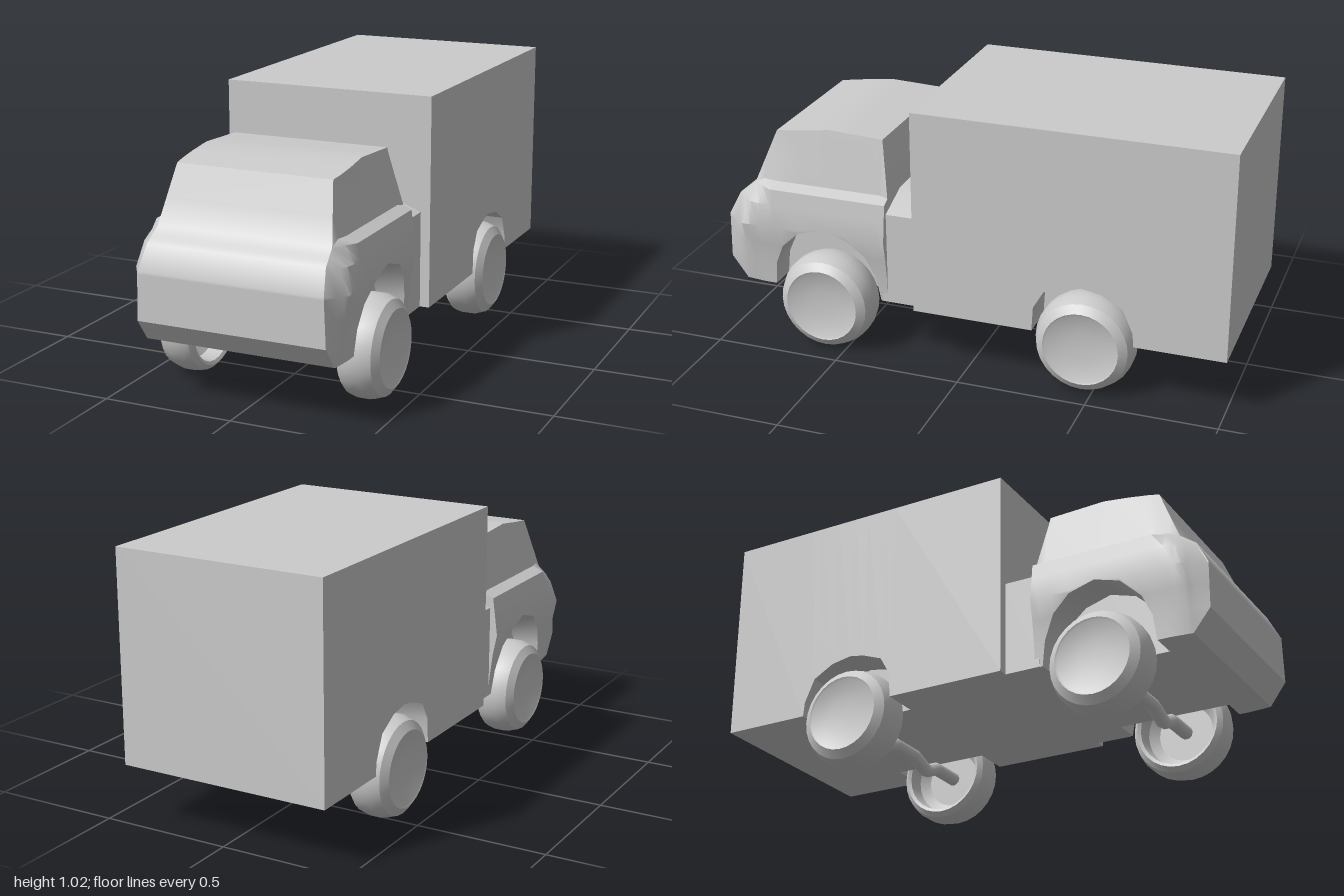
import * as THREE from 'three';
import { toCreasedNormals } from 'three/addons/utils/BufferGeometryUtils.js';

const FLOOR = 0.225, WELL = 0.27;
const material = new THREE.MeshStandardMaterial({ color: 0xcccccc });
const clamp = THREE.MathUtils.clamp;

// Linear lookup in a sorted list of [input, output] pairs
function lookup(table, v) {
  if (v <= table[0][0]) return table[0][1];
  for (let i = 1; i < table.length; i++) {
    const [a, fa] = table[i - 1], [b, fb] = table[i];
    if (v <= b) return fa + (fb - fa) * (v - a) / (b - a);
  }
  return table[table.length - 1][1];
}

// Skin a row of mirrored cross-sections; each section lists its +x half from bottom to top
function loft(sections, crease) {
  const rings = sections.map(({ z, half }) => [
    ...half.map(([x, y]) => new THREE.Vector3(x, y, z)),
    ...half.slice().reverse().map(([x, y]) => new THREE.Vector3(-x, y, z)),
  ]);
  const pos = [], n = rings[0].length;
  const tri = (a, b, c) => {
    const area = b.clone().sub(a).cross(c.clone().sub(a)).length();
    if (area > 1e-7) for (const p of [a, b, c]) pos.push(p.x, p.y, p.z);
  };
  const quad = (a, b, c, d) => { tri(a, b, c); tri(a, c, d); };
  for (let k = 0; k + 1 < rings.length; k++) {
    for (let i = 0; i < n; i++) {
      const j = (i + 1) % n;
      quad(rings[k][i], rings[k][j], rings[k + 1][j], rings[k + 1][i]);
    }
  }
  const first = rings[0], last = rings[rings.length - 1];
  for (let i = 0; i < n / 2 - 1; i++) {
    quad(last[i], last[i + 1], last[n - 2 - i], last[n - 1 - i]);
    quad(first[n - 1 - i], first[n - 2 - i], first[i + 1], first[i]);
  }
  const geo = new THREE.BufferGeometry();
  geo.setAttribute('position', new THREE.Float32BufferAttribute(pos, 3));
  return toCreasedNormals(geo, crease);
}

// Wheel arch outlines as [z, y]
const frontArch = [[0.355, FLOOR], [0.37, 0.32], [0.41, 0.41], [0.48, 0.47], [0.58, 0.5],
  [0.68, 0.47], [0.755, 0.4], [0.79, 0.32], [0.8, FLOOR]];
const rearArch = [[-0.655, FLOOR], [-0.65, 0.28], [-0.61, 0.37], [-0.53, 0.415], [-0.45, 0.43],
  [-0.39, 0.42], [-0.31, 0.39], [-0.27, 0.32], [-0.265, FLOOR]];

// Cab: roof line over z, nose line over y, and half widths over y
const roofLine = [[0.325, 0.645], [0.36, 0.86], [0.58, 0.87], [0.8, 0.84], [0.885, 0.63],
  [0.95, 0.58], [0.995, 0.49]];
const noseLine = [[FLOOR, 0.93], [0.31, 0.995], [0.49, 0.995], [0.58, 0.95], [0.63, 0.885], [0.84, 0.8]];
const sideWidth = [[FLOOR, 0.375], [0.37, 0.388], [0.48, 0.41], [0.63, 0.39], [0.65, 0.347], [0.87, 0.306]];
const frontWidth = [[FLOOR, 0.365], [0.49, 0.355], [0.63, 0.335], [0.84, 0.3], [0.87, 0.298]];

function cabWidth(y, z) {
  const nearNose = clamp(1 - (lookup(noseLine, y) - z) / 0.08, 0, 1);
  return THREE.MathUtils.lerp(lookup(sideWidth, y), lookup(frontWidth, y), nearNose);
}

function cabGeometry() {
  const stations = [0.325, ...frontArch.map(p => p[0]), 0.36, 0.845, 0.885, 0.915, 0.93, 0.95, 0.995]
    .sort((a, b) => a - b);
  return loft(stations.map(z => {
    const floor = lookup([[0.93, FLOOR], [0.995, 0.31]], z);
    const low = Math.max(floor, lookup(frontArch, z)), top = lookup(roofLine, z);
    const levels = [low, 0.31, 0.4, 0.48, 0.57, 0.63, 0.65, 0.75, 0.84, top];
    return {
      z,
      half: [[WELL, floor], [WELL, low], ...levels.map(v => {
        const y = clamp(v, low, top);
        return [cabWidth(y, z), y];
      })],
    };
  }), 0.6);
}

// Cargo box with rear wheel wells
function boxGeometry() {
  const stations = [-1, ...rearArch.map(p => p[0]), 0.205];
  return loft(stations.map(z => {
    const low = lookup(rearArch, z);
    return { z, half: [[WELL, FLOOR], [WELL, low], [0.415, low], [0.415, 1.025]] };
  }), 0.6);
}

// Link between cab and box, with sloped shoulders
function neckGeometry() {
  const half = [[0.378, FLOOR], [0.378, 0.59], [0.235, 0.645]];
  return loft([{ z: 0.2, half }, { z: 0.345, half }], 0.6);
}

// Wheel turned around its axle: hollow back, rounded tyre, shallow dished hub; [radius, x]
function wheelGeometry() {
  const profile = [[0, 0.375], [0.11, 0.375], [0.145, 0.35], [0.152, 0.29], [0.165, 0.283], [0.183, 0.3],
    [0.191, 0.33], [0.191, 0.375], [0.176, 0.418], [0.145, 0.44], [0.137, 0.436], [0.06, 0.424], [0, 0.424]];
  const geo = new THREE.LatheGeometry(profile.map(([r, x]) => new THREE.Vector2(r, x)), 28);
  geo.rotateZ(-Math.PI / 2);
  return toCreasedNormals(geo, 0.5);
}

// Kinked axle tube
function axleGeometry() {
  const half = [[0.07, 0.192], [0.16, 0.158], [0.235, 0.192], [0.38, 0.192]];
  const points = [...half.slice().reverse().map(([x, y]) => [-x, y]), ...half]
    .map(([x, y]) => new THREE.Vector3(x, y, 0));
  const curve = new THREE.CatmullRomCurve3(points, false, 'catmullrom', 0);
  return new THREE.TubeGeometry(curve, 48, 0.027, 10);
}

export function createModel() {
  const truck = new THREE.Group();
  truck.name = 'boxTruck';
  const add = (name, geometry, parent = truck) => {
    const mesh = new THREE.Mesh(geometry, material);
    mesh.name = name;
    parent.add(mesh);
    return mesh;
  };

  add('cab', cabGeometry());
  add('neck', neckGeometry());
  add('cargoBox', boxGeometry());

  // Two axles, each with a wheel at both ends
  const wheel = wheelGeometry(), axle = axleGeometry();
  for (const [end, z] of [['front', 0.58], ['rear', -0.46]]) {
    const set = new THREE.Group();
    set.name = `${end}WheelSet`;
    set.position.z = z;
    add(`${end}Axle`, axle, set);
    for (const [side, turn] of [['Left', 0], ['Right', Math.PI]]) {
      const mesh = add(`${end}${side}Wheel`, wheel, set);
      mesh.position.y = 0.191;
      mesh.rotation.y = turn;
    }
    truck.add(set);
  }
  return truck;
}
